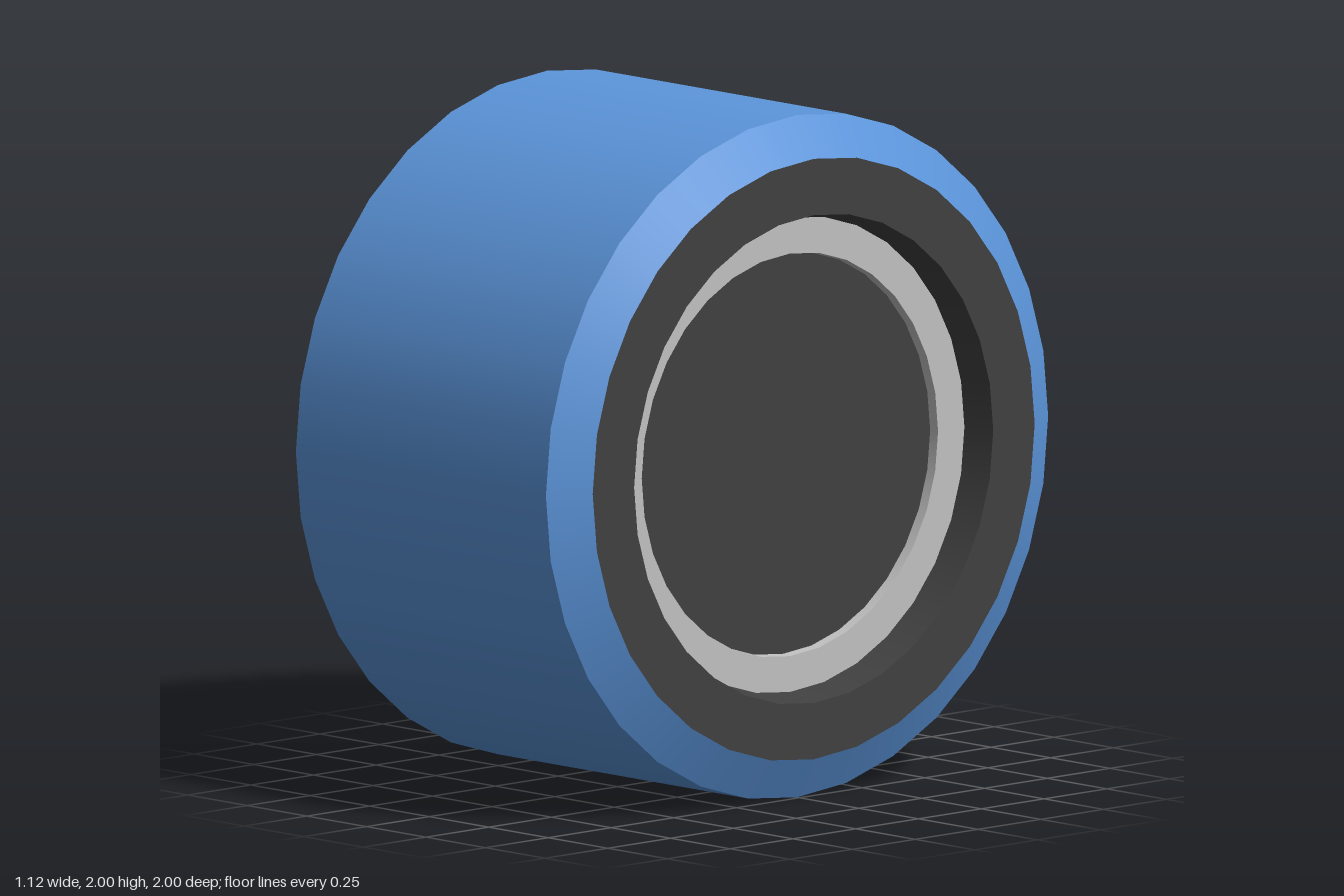
import * as THREE from 'three';

const SIDES = 32;

export function createModel() {
  const material = (name, color) => {
    const m = new THREE.MeshStandardMaterial({ color });
    m.name = name;
    return m;
  };
  const blue = material('blue', 0x5c96dc);
  const dark = material('dark grey', 0x404040);
  const silver = material('light grey', 0xc0c0c0);

  const group = new THREE.Group();
  group.name = 'wheel';

  // One band turned around the x axis: [radius, x] to [radius, x].
  // Each band is its own lathe, so the edges between bands stay sharp.
  const band = (name, mat, from, to) => {
    const points = [from, to].map(([r, x]) => new THREE.Vector2(r, x));
    const geometry = new THREE.LatheGeometry(points, SIDES);
    geometry.rotateZ(-Math.PI / 2);
    geometry.translate(0, 1, 0);
    const mesh = new THREE.Mesh(geometry, mat);
    mesh.name = name;
    group.add(mesh);
  };

  // Outer body, from the back cap round to the bevelled front edge
  band('backCap', dark, [0, -0.56], [1, -0.56]);
  band('tread', blue, [1, -0.56], [1, 0.49]);
  band('bevel', blue, [1, 0.49], [0.88, 0.56]);

  // Front rim and the stepped recess
  band('rim', dark, [0.88, 0.56], [0.715, 0.56]);
  band('recessWall', dark, [0.715, 0.56], [0.695, 0.46]);
  band('ring', silver, [0.695, 0.46], [0.59, 0.46]);
  band('ringInnerWall', silver, [0.59, 0.46], [0.587, 0.43]);
  band('hub', dark, [0.587, 0.43], [0, 0.43]);

  return group;
}
